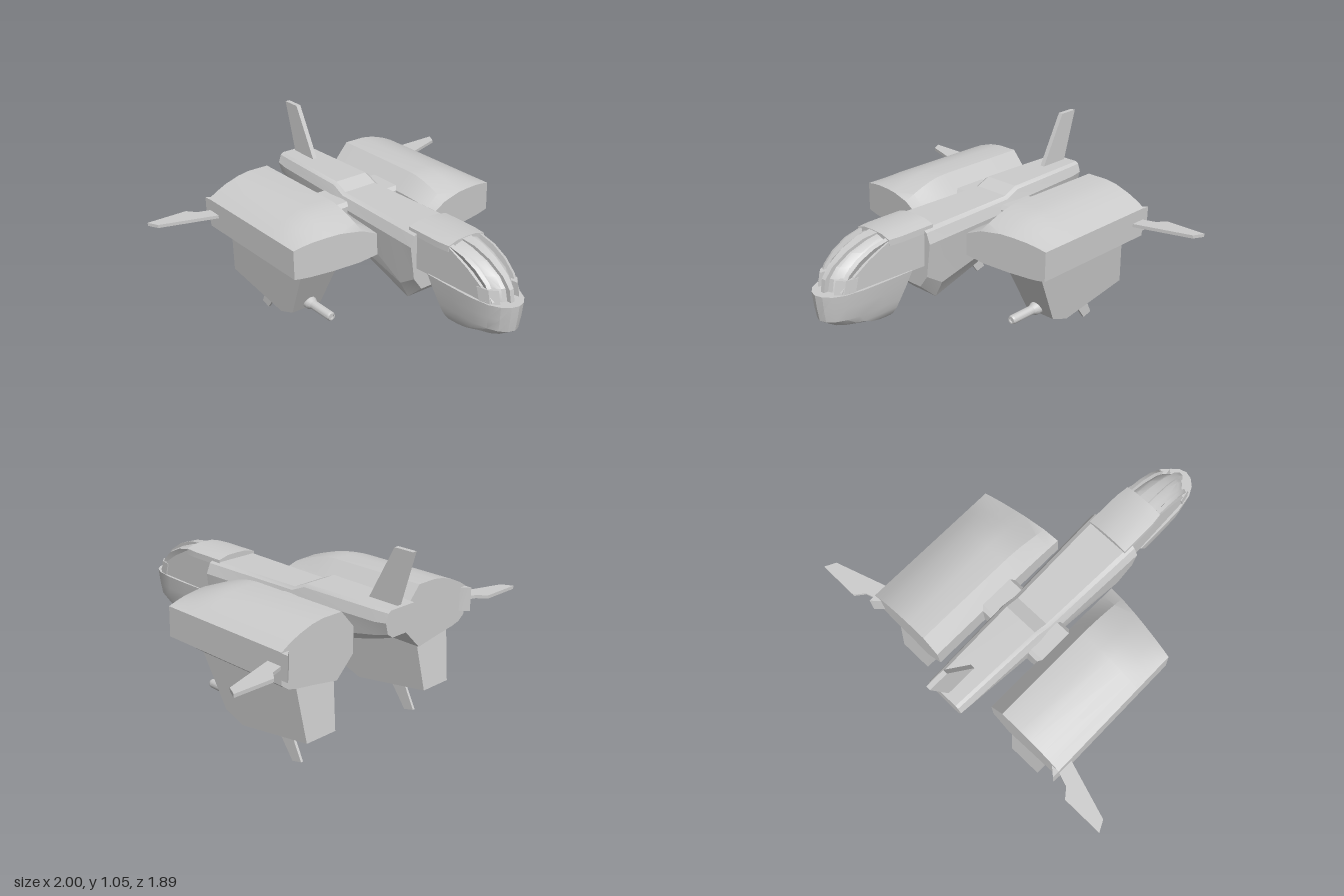
import * as THREE from 'three';
import { toCreasedNormals } from 'three/addons/utils/BufferGeometryUtils.js';

const grey = new THREE.MeshStandardMaterial({ color: 0xcccccc });
const lerp = THREE.MathUtils.lerp;

// Adds a part; mirror = -1 reflects it to the other side and restores the winding
function add(group, name, geo, mirror = 1, crease = 0.45) {
  const g = geo.index ? geo.toNonIndexed() : geo;
  g.deleteAttribute('uv');
  if (mirror < 0) {
    g.scale(-1, 1, 1);
    const a = g.attributes.position.array;
    for (let i = 0; i < a.length; i += 9) {
      for (let k = 0; k < 3; k++) [a[i + k], a[i + 6 + k]] = [a[i + 6 + k], a[i + k]];
    }
  }
  g.deleteAttribute('normal');
  const mesh = new THREE.Mesh(toCreasedNormals(g, crease), grey);
  mesh.name = name;
  group.add(mesh);
}

// Capped solid through rings of [x, y, z] points, always facing outward
function loft(rings) {
  const pos = [];
  const tri = (a, b, c) => pos.push(...a, ...b, ...c);
  const n = rings[0].length;
  const cap = (r, flip) => {
    const c = [0, 1, 2].map(k => r.reduce((s, p) => s + p[k], 0) / n);
    for (let i = 0; i < n; i++) {
      const p = r[i], q = r[(i + 1) % n];
      flip ? tri(c, q, p) : tri(c, p, q);
    }
  };
  for (let j = 0; j < rings.length - 1; j++) {
    for (let i = 0; i < n; i++) {
      const a = rings[j][i], b = rings[j][(i + 1) % n];
      const c = rings[j + 1][(i + 1) % n], d = rings[j + 1][i];
      tri(a, b, c);
      tri(a, c, d);
    }
  }
  cap(rings[0], true);
  cap(rings[rings.length - 1], false);
  let volume = 0;
  const [A, B, C] = [0, 0, 0].map(() => new THREE.Vector3());
  for (let i = 0; i < pos.length; i += 9) {
    volume += A.fromArray(pos, i).dot(B.fromArray(pos, i + 3).cross(C.fromArray(pos, i + 6)));
  }
  if (volume < 0) {
    for (let i = 0; i < pos.length; i += 9) {
      for (let k = 0; k < 3; k++) [pos[i + k], pos[i + 6 + k]] = [pos[i + 6 + k], pos[i + k]];
    }
  }
  return new THREE.BufferGeometry().setAttribute('position', new THREE.Float32BufferAttribute(pos, 3));
}

const extrude = (pts, depth) => new THREE.ExtrudeGeometry(
  new THREE.Shape(pts.map(p => new THREE.Vector2(...p))), { depth, bevelEnabled: false });
// Side profile [z, y] with thickness across x
const sidePlate = (pts, t, x = 0) => extrude(pts, t).rotateY(-Math.PI / 2).translate(x + t / 2, 0, 0);
// Plan outline [x, z] with thickness across y
const planPlate = (pts, t, y) => extrude(pts, t).rotateX(Math.PI / 2).translate(0, y + t / 2, 0);

// Half outline continued by its mirror image into a closed ring
const closeRing = half => [...half, ...half.filter(p => p[0] > 1e-6).reverse().map(([x, y, z]) => [-x, y, z])];

// Horizontal slice of the cockpit: straight flanks and a rounded front
const cockpitRing = (y, w, back, front) => closeRing([
  [w, y, back], [w, y, lerp(back, front, 0.3)], [w * 0.97, y, lerp(back, front, 0.6)],
  [w * 0.84, y, front - 0.1], [w * 0.62, y, front - 0.045], [w * 0.32, y, front - 0.012], [0, y, front],
]);

// Nacelle section: x, full height y, height y at the intake end
const nacelleSection = [
  [0.66, 0.69, 0.69], [0.61, 0.72, 0.702], [0.55, 0.748, 0.712], [0.47, 0.774, 0.718], [0.40, 0.785, 0.72],
  [0.28, 0.785, 0.705], [0.195, 0.69, 0.67], [0.195, 0.55, 0.55], [0.30, 0.445, 0.53],
  [0.45, 0.47, 0.522], [0.57, 0.487, 0.522], [0.62, 0.5, 0.525], [0.66, 0.53, 0.53],
];

function nacelleGeometry() {
  const ring = (t, rear) => nacelleSection.map(([x, full, intake]) => [
    x, lerp(intake, full, Math.sin(t * Math.PI / 2)),
    rear ?? lerp(0.12 - (x - 0.195) * 0.165, -0.19, t),
  ]);
  return loft([...[0, 0.2, 0.4, 0.6, 0.8, 1].map(t => ring(t)), ring(1, -0.76)]);
}

function createSide(side, name) {
  const g = new THREE.Group();
  g.name = name;
  const put = (part, geo, crease) => add(g, part, geo, side, crease);

  put('nacelle', nacelleGeometry());
  put('wingRoot', planPlate([[0.66, -0.8], [0.66, -0.7], [0.58, -0.7], [0.62, -0.765]], 0.13, 0.622));
  put('wing', planPlate([[0.64, -0.665], [0.66, -0.67], [0.97, -0.77], [1, -0.83],
    [0.77, -0.83], [0.73, -0.78], [0.64, -0.75]], 0.018, 0.615));

  // Pod below the nacelle, narrowing downward
  const pod = sidePlate([[-0.05, 0.5], [-0.21, 0.17], [-0.33, 0.125], [-0.785, 0.2], [-0.735, 0.5]], 0.25, 0.425);
  const p = pod.attributes.position;
  for (let i = 0; i < p.count; i++) {
    p.setX(i, 0.425 + (p.getX(i) - 0.425) * lerp(0.7, 1, (p.getY(i) - 0.125) / 0.375));
  }
  put('pod', pod, 0.1);
  put('podFin', sidePlate([[-0.46, 0.18], [-0.595, 0], [-0.655, 0.015], [-0.57, 0.18]], 0.014, 0.42));

  // Gun: stepped barrel turned around its axis
  const barrel = [[0, 0.005], [0.014, 0.005], [0.014, 0.015], [0.02, 0.015], [0.025, 0.004],
    [0.025, -0.145], [0.036, -0.17], [0.036, -0.27], [0, -0.27]]
    .reverse().map(q => new THREE.Vector2(...q));
  put('gun', new THREE.LatheGeometry(barrel, 20).rotateX(Math.PI / 2).translate(0.42, 0.212, 0));

  // Chamfered joint between fuselage and nacelle
  put('nacelleJoint', loft([0.1, 0.215].map(x => [
    [x, 0.69, -0.2], [x, 0.71, -0.22], [x, 0.71, -0.415], [x, 0.69, -0.435],
    [x, 0.56, -0.435], [x, 0.54, -0.415], [x, 0.54, -0.22], [x, 0.56, -0.2],
  ])));
  return g;
}

function createFuselage() {
  const g = new THREE.Group();
  g.name = 'fuselage';
  // z, half width, top, bottom
  const stations = [
    [0.35, 0.165, 0.74, 0.41], [0.24, 0.161, 0.74, 0.315], [-0.27, 0.141, 0.74, 0.455],
    [-0.35, 0.138, 0.775, 0.478], [-0.82, 0.119, 0.775, 0.61], [-0.89, 0.116, 0.775, 0.635],
  ];
  add(g, 'mainBody', loft(stations.map(([z, w, top, low]) => {
    const edge = Math.min(0.07, (top - low) * 0.4);
    const belly = lerp(top - edge, low, 0.72);
    return closeRing([
      [0, top, z], [w * 0.72, top, z], [w * 0.86, top - edge * 0.2, z], [w, top - edge, z],
      [w * 0.86, belly, z], [w * 0.55, low, z], [0, low, z],
    ]);
  })), 1, 0.35);
  add(g, 'tailFin', sidePlate([[-0.685, 0.765], [-0.835, 1.055], [-0.945, 1.055], [-0.865, 0.765]], 0.026));
  return g;
}

function createCockpit() {
  const g = new THREE.Group();
  g.name = 'cockpit';
  // y, half width, back z, front z
  add(g, 'lowerNose', loft([
    [0.545, 0.127, 0.435, 0.95], [0.47, 0.119, 0.47, 0.942], [0.4, 0.108, 0.503, 0.93],
    [0.36, 0.1, 0.52, 0.87], [0.335, 0.09, 0.532, 0.78], [0.315, 0.075, 0.54, 0.66],
  ].map(r => cockpitRing(...r))), 1, 0.4);
  add(g, 'canopyGlass', loft([
    [0.54, 0.115, 0.33, 0.885], [0.61, 0.112, 0.33, 0.87], [0.66, 0.108, 0.33, 0.83],
    [0.71, 0.102, 0.33, 0.75], [0.745, 0.095, 0.33, 0.65], [0.76, 0.07, 0.33, 0.58],
  ].map(r => cockpitRing(...r))), 1, 0.4);
  // Raised roof panel
  add(g, 'roof', loft([[0.29, 1], [0.5, 1], [0.575, 0.93]].map(([z, s]) => closeRing([
    [0, 0.77, z], [0.065 * s, 0.768, z], [0.125 * s, 0.752, z], [0.127 * s, 0.72, z], [0, 0.72, z],
  ]))));
  // Central windscreen rib, widening toward the roof
  const ridge = [[0.56, 0.768, 0.03], [0.66, 0.757, 0.025], [0.76, 0.722, 0.02],
    [0.85, 0.665, 0.016], [0.893, 0.61, 0.013], [0.905, 0.54, 0.012]];
  add(g, 'windscreenRib', loft(ridge.map(([z, y, w]) => [
    [w, y, z], [-w, y, z], [-w, y - 0.05, z - 0.05], [w, y - 0.05, z - 0.05],
  ])));
  for (const side of [1, -1]) {
    // Flank below the side window, and the sill around the front corner
    add(g, 'cockpitFlank', sidePlate([[0.33, 0.54], [0.83, 0.54], [0.79, 0.62], [0.7, 0.68],
      [0.57, 0.745], [0.33, 0.745]], 0.03, 0).applyMatrix4(
      new THREE.Matrix4().makeShear(0, 0, 0, 0, -0.045, 0)).translate(0.126, 0, 0), side);
    add(g, 'windowSill', loft([0.54, 0.615].map((y, i) => [
      [0.112, y, 0.79 - i * 0.02], [0.098, y, 0.85 - i * 0.015], [0.062, y, 0.885 - i * 0.015],
      [0.055, y, 0.84 - i * 0.015], [0.085, y, 0.78 - i * 0.02],
    ])), side);
    // Slim pillar from the roof corner down to the sill
    const pillar = [[0.1, 0.758, 0.56], [0.097, 0.735, 0.67], [0.093, 0.695, 0.755],
      [0.088, 0.64, 0.82], [0.084, 0.56, 0.865]];
    add(g, 'windscreenPillar', loft(pillar.map(([x, y, z]) => [
      [x + 0.01, y - 0.006, z - 0.006], [x - 0.01, y, z], [x - 0.02, y - 0.03, z - 0.03], [x, y - 0.03, z - 0.03],
    ])), side);
  }
  return g;
}

export function createModel() {
  const model = new THREE.Group();
  model.name = 'dropship';
  model.add(createFuselage(), createCockpit(), createSide(1, 'leftEngine'), createSide(-1, 'rightEngine'));
  return model;
}
